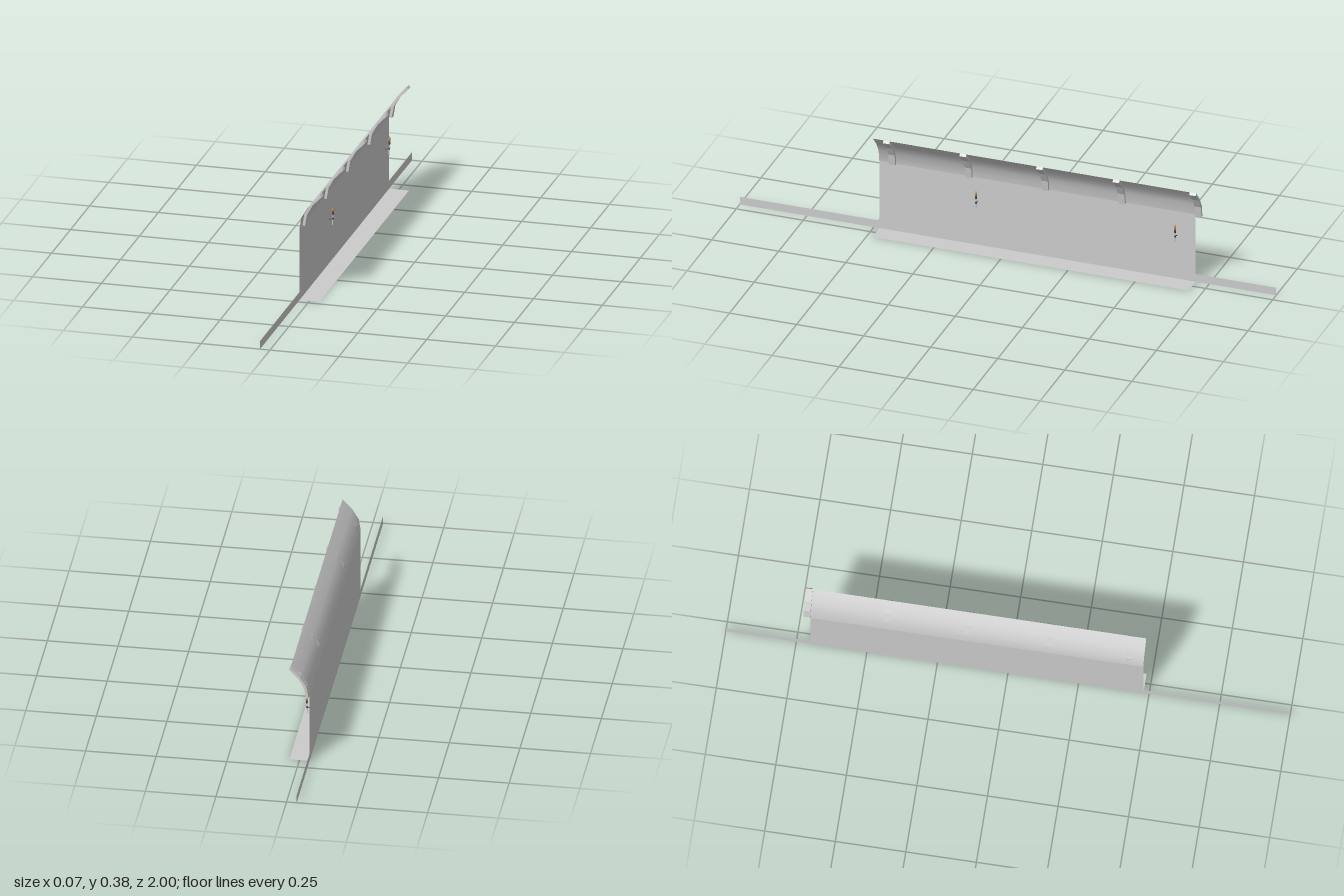
import * as THREE from 'three';

const X = -0.036, Z0 = -0.70, Z1 = 0.48;
const grey = new THREE.MeshStandardMaterial({ color: 0xcccccc });
const sheet = new THREE.MeshStandardMaterial({ color: 0xcccccc, side: THREE.DoubleSide });
const iron = new THREE.MeshStandardMaterial({ color: 0x4a4a4a, flatShading: true });
const wood = new THREE.MeshStandardMaterial({ color: 0xcccccc, flatShading: true });
const fire = new THREE.MeshStandardMaterial({ color: 0xc08a45, flatShading: true });

// Outer and inner lines of the curved overhang, as [x, y]
const outer = [[-0.036, 0.265], [-0.029, 0.309], [-0.006, 0.347], [0.028, 0.384]];
const inner = [[-0.027, 0.263], [-0.02, 0.305], [0.001, 0.342], [0.034, 0.376]];

function add(parent, name, geometry, material) {
  const mesh = new THREE.Mesh(geometry, material);
  mesh.name = name;
  parent.add(mesh);
  return mesh;
}

// Thin sheet: an [x, y] line swept along z
function sweep(line, z0, z1) {
  const n = line.length - 1;
  const geo = new THREE.PlaneGeometry(1, 1, 1, n);
  const pos = geo.attributes.position;
  for (let i = 0; i < pos.count; i++) {
    const [x, y] = line[n - Math.floor(i / 2)];
    pos.setXYZ(i, x, y, i % 2 ? z0 : z1);
  }
  geo.computeVertexNormals();
  return geo;
}

// Round bar between two points
function bar(parent, name, a, b, ra, rb, material, sides = 6) {
  const from = new THREE.Vector3(...a), dir = new THREE.Vector3(...b).sub(from);
  const mesh = add(parent, name, new THREE.CylinderGeometry(rb, ra, dir.length(), sides), material);
  mesh.position.copy(from).addScaledVector(dir, 0.5);
  mesh.quaternion.setFromUnitVectors(new THREE.Vector3(0, 1, 0), dir.normalize());
}

function createTorch() {
  const torch = new THREE.Group();
  torch.name = 'torch';
  bar(torch, 'handle', [-0.018, 0.152, 0], [-0.015, 0.195, 0], 0.0018, 0.0025, wood);
  bar(torch, 'bracketArm', [X, 0.171, 0], [-0.015, 0.177, 0], 0.0015, 0.0015, iron);
  bar(torch, 'bracketRing', [-0.0168, 0.173, 0], [-0.0162, 0.179, 0], 0.0035, 0.0035, iron);
  bar(torch, 'cup', [-0.0155, 0.191, 0], [-0.0155, 0.201, 0], 0.003, 0.004, iron);
  const flame = [[0, 0.201], [0.003, 0.204], [0.0048, 0.209], [0.003, 0.215], [0, 0.224]];
  const mesh = add(torch, 'flame',
    new THREE.LatheGeometry(flame.map(p => new THREE.Vector2(...p)), 6), fire);
  mesh.position.x = -0.0155;
  return torch;
}

export function createModel() {
  const model = new THREE.Group();

  // Wall, floor, long base strip and curved overhang
  add(model, 'wall', sweep([[X, 0.03], [X, 0.265]], Z0, Z1), sheet);
  add(model, 'floor', sweep([[-X, 0], [X, 0]], Z0, Z1), sheet);
  add(model, 'baseStrip', sweep([[X, 0], [X, 0.03]], -1, 1), sheet);
  add(model, 'overhang', sweep(outer, Z0, Z1), sheet);

  // Ribs under the overhang; the last one stands just past its end
  const section = new THREE.Shape([...outer, ...inner.slice().reverse()].map(p => new THREE.Vector2(...p)));
  const rib = new THREE.ExtrudeGeometry(section, { depth: 0.024, bevelEnabled: false });
  for (let i = 0; i < 5; i++) {
    add(model, 'rib', rib, grey).position.z = 0.417 - i * 0.2855;
  }

  // Wall torches
  for (const z of [0.112, -0.63]) {
    const torch = createTorch();
    torch.position.z = z;
    model.add(torch);
  }
  return model;
}
